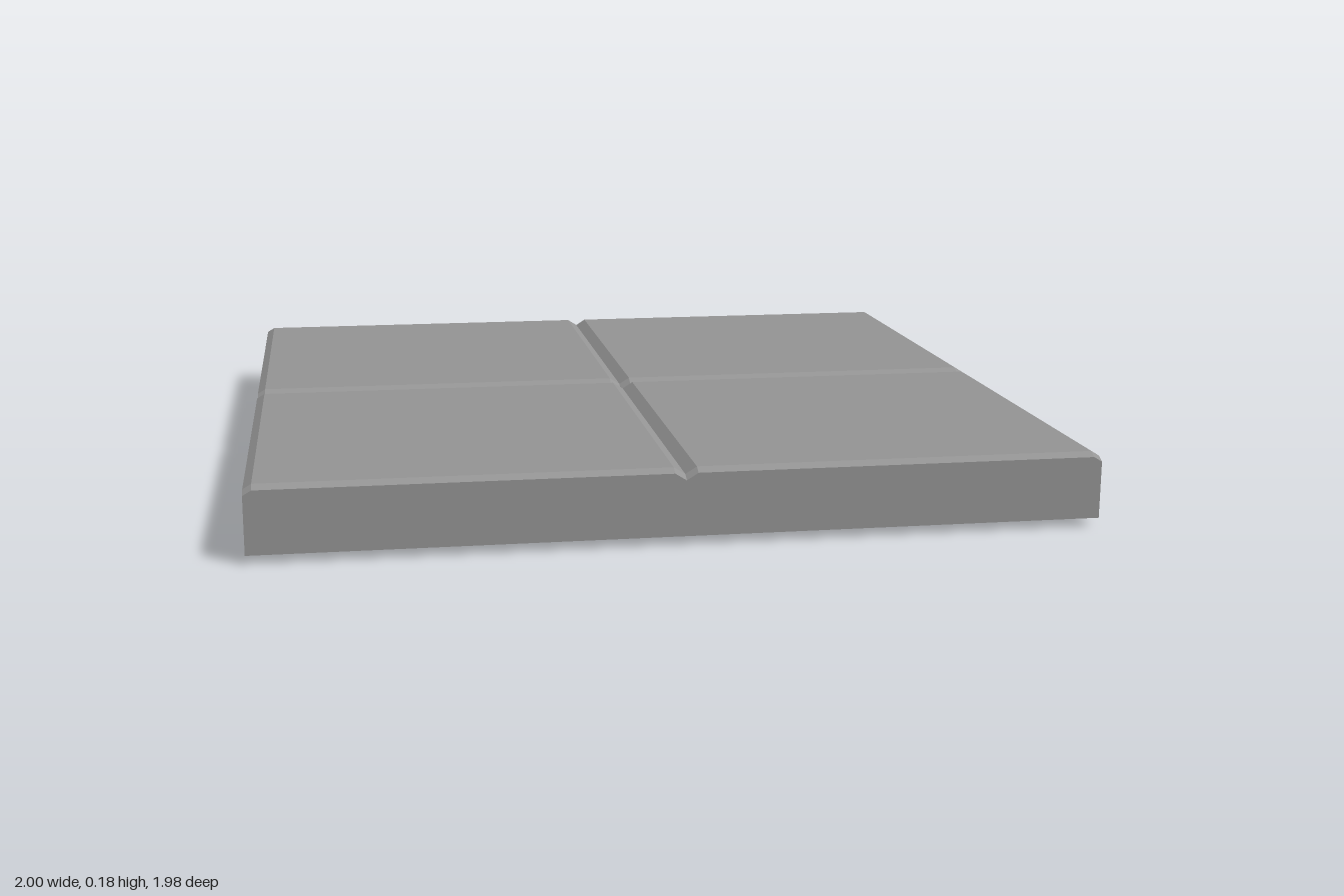
import * as THREE from 'three';

// Grid lines across the slab, and how far the top drops along each of them
const XS = [-1, -0.98, -0.027, 0, 0.027, 0.98, 1];
const ZS = [-0.99, -0.97, -0.03, 0, 0.03, 0.97, 0.99];
const DROP_X = [0.012, 0, 0, 0.017, 0, 0, 0.012];
const DROP_Z = [0.01, 0, 0, 0.016, 0, 0, 0.01];
const BASE_Z = [0.02, 0.02, 0.02, 0, 0.02, 0.02, 0.02];
const TOP = 0.18;

export function createModel() {
  const group = new THREE.Group();
  group.name = 'floorSlab';

  // A 6 x 6 cell box: bevelled rim, crossing V grooves on top, ridge beneath
  const geometry = new THREE.BoxGeometry(6, 2, 6, 6, 1, 6);
  const pos = geometry.attributes.position;
  for (let n = 0; n < pos.count; n++) {
    const i = Math.round(pos.getX(n)) + 3;
    const k = Math.round(pos.getZ(n)) + 3;
    const y = pos.getY(n) > 0 ? TOP - DROP_X[i] - DROP_Z[k] : BASE_Z[k];
    pos.setXYZ(n, XS[i], y, ZS[k]);
  }
  geometry.computeVertexNormals();

  const material = new THREE.MeshStandardMaterial({ color: 0x959595, flatShading: true });
  const slab = new THREE.Mesh(geometry, material);
  slab.name = 'groovedSlab';
  group.add(slab);
  return group;
}
